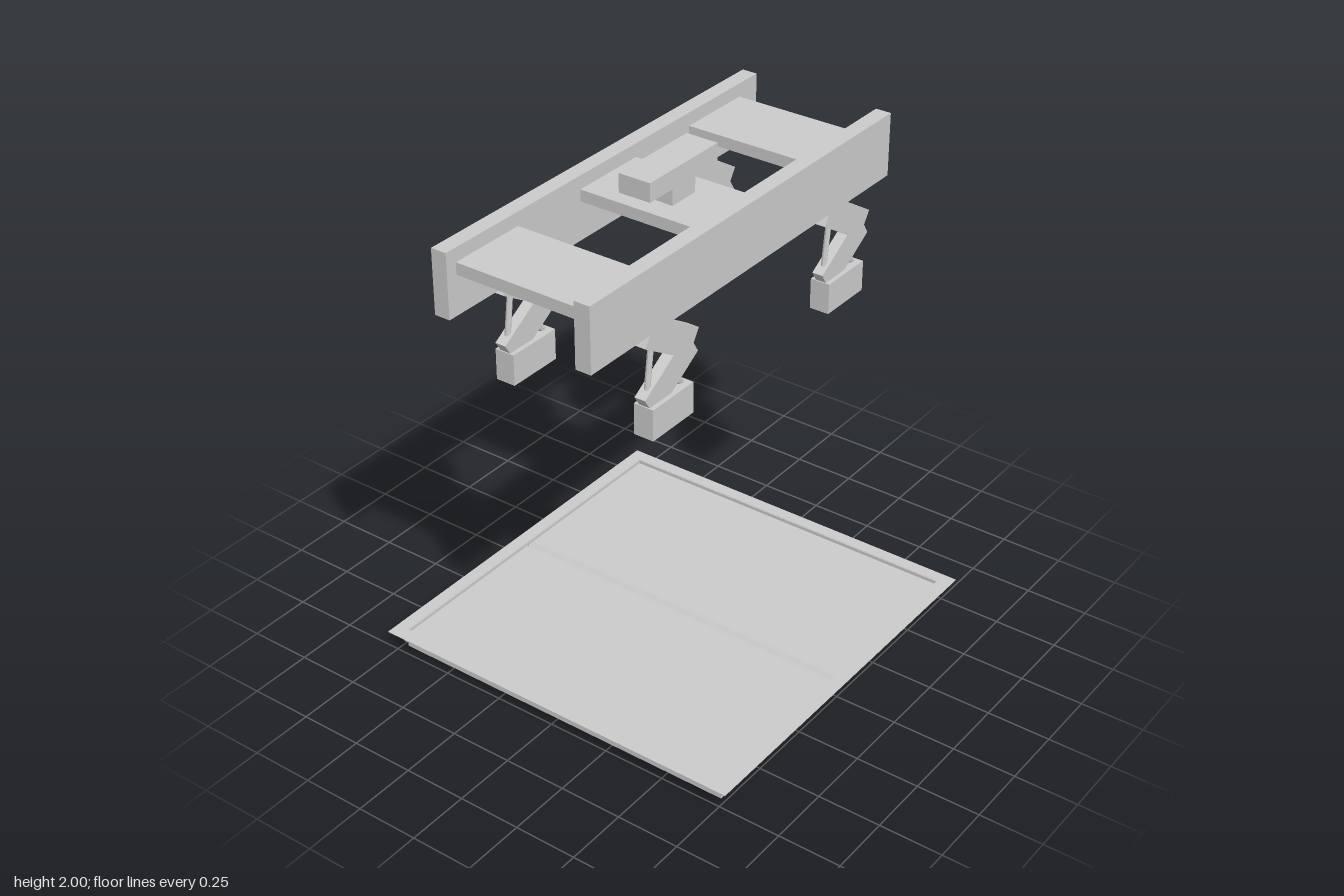
import * as THREE from 'three';

const grey = new THREE.MeshStandardMaterial({ color: 0xcccccc, flatShading: true, side: THREE.DoubleSide });

function add(parent, name, geometry, x = 0, y = 0, z = 0) {
  const mesh = new THREE.Mesh(geometry, grey);
  mesh.name = name;
  mesh.position.set(x, y, z);
  parent.add(mesh);
  return mesh;
}

// Box given by its extents along each axis
function block(parent, name, [x0, x1], [y0, y1], [z0, z1]) {
  return add(parent, name, new THREE.BoxGeometry(x1 - x0, y1 - y0, z1 - z0),
    (x0 + x1) / 2, (y0 + y1) / 2, (z0 + z1) / 2);
}

// Thin piston rod between two points in the leg's own plane
function rod(parent, name, radius, y0, z0, y1, z1) {
  const dy = y1 - y0, dz = z1 - z0;
  const mesh = add(parent, name, new THREE.CylinderGeometry(radius, radius, Math.hypot(dy, dz), 8),
    0, (y0 + y1) / 2, (z0 + z1) / 2);
  mesh.rotation.x = Math.atan2(dz, dy);
}

// Folded leg, z measured from the middle of the foot
function createLeg() {
  const leg = new THREE.Group();
  leg.name = 'leg';
  const tilt = 0.557;
  const upper = add(leg, 'upperLeg', new THREE.BoxGeometry(0.05, 0.112, 0.281), 0, 1.597, -0.015);
  upper.rotation.x = -tilt;
  const lower = add(leg, 'lowerLeg', new THREE.BoxGeometry(0.044, 0.112, 0.281), 0, 1.451, -0.015);
  lower.rotation.x = tilt;
  block(leg, 'foot', [-0.04, 0.04], [1.263, 1.385], [-0.114, 0.114]);
  rod(leg, 'kneePiston', 0.011, 1.62, 0.069, 1.43, 0.095);
  rod(leg, 'anklePiston', 0.015, 1.44, -0.045, 1.36, -0.108);
  return leg;
}

function squareShape(h) {
  return new THREE.Shape([[-h, -h], [h, -h], [h, h], [-h, h]].map(([x, y]) => new THREE.Vector2(x, y)));
}

// Horizontal square ring with outer and inner half widths
function ring(parent, name, outer, inner, y0, y1) {
  const shape = squareShape(outer);
  shape.holes.push(squareShape(inner));
  const geometry = new THREE.ExtrudeGeometry(shape, { depth: y1 - y0, bevelEnabled: false });
  geometry.rotateX(-Math.PI / 2);
  return add(parent, name, geometry, 0, y0, 0);
}

export function createModel() {
  const model = new THREE.Group();
  model.name = 'liftCarriage';

  // Carriage: side rails, cross plates and the housing on top
  const carriage = new THREE.Group();
  carriage.name = 'carriage';
  model.add(carriage);
  for (const s of [-1, 1]) {
    add(carriage, 'sideRail', new THREE.BoxGeometry(0.063, 0.25, 1.765), s * 0.295, 1.792, 0);
  }
  for (const z of [-0.612, 0.025, 0.678]) {
    add(carriage, 'crossPlate', new THREE.BoxGeometry(0.528, 0.046, 0.317), 0, 1.841, z);
  }
  block(carriage, 'housingPedestal', [-0.066, 0.066], [1.86, 1.93], [-0.036, 0.095]);
  block(carriage, 'housing', [-0.066, 0.066], [1.927, 2], [-0.167, 0.222]);

  // Four folded legs under the rails
  for (const x of [-0.302, 0.298]) {
    for (const z of [0.459, -0.606]) {
      const leg = createLeg();
      leg.position.set(x, 0, z);
      carriage.add(leg);
    }
  }

  // Floor hatch: flange, thin walls and two doors meeting at a pointed edge
  const hatch = new THREE.Group();
  hatch.name = 'floorHatch';
  hatch.position.z = -0.019;
  model.add(hatch);
  ring(hatch, 'flange', 0.782, 0.731, 0.073, 0.076);
  ring(hatch, 'upperWall', 0.735, 0.727, 0.06, 0.075);
  ring(hatch, 'lowerWall', 0.731, 0.725, 0, 0.025);
  for (const s of [-1, 1]) {
    const profile = new THREE.Shape([[0, 0.0425], [0.018, 0.024], [0.74, 0.024], [0.74, 0.061], [0.018, 0.061]]
      .map(([z, y]) => new THREE.Vector2(z, y)));
    const geometry = new THREE.ExtrudeGeometry(profile, { depth: 1.48, bevelEnabled: false });
    geometry.translate(0, 0, -0.74);
    const door = add(hatch, 'hatchDoor', geometry);
    door.rotation.y = s * Math.PI / 2;
  }
  return model;
}
